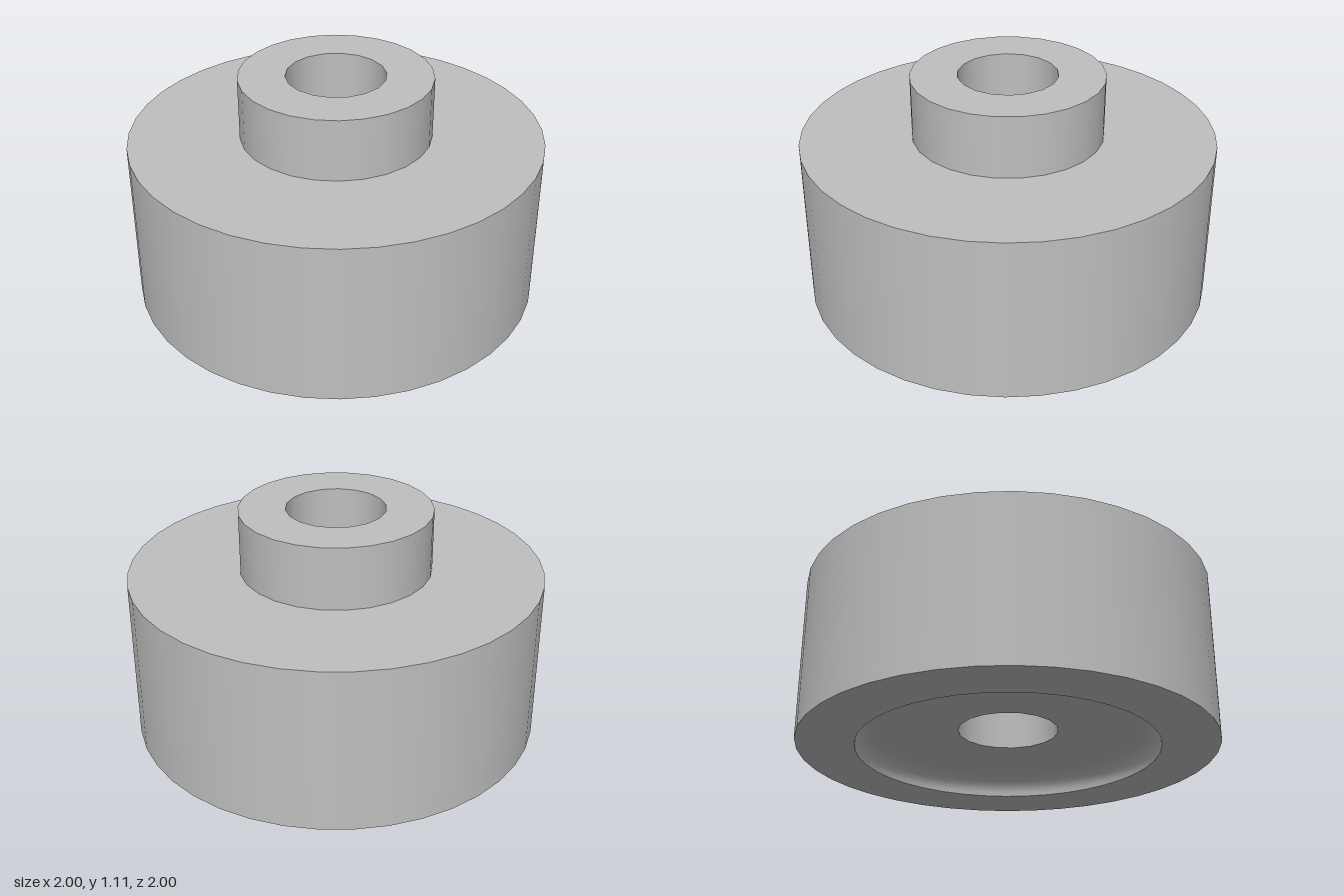
import * as THREE from 'three';

const OUTER = { r: 1, n: 40 }, BOSS = { r: 0.465, n: 26 }, BORE = { r: 0.24, n: 18 };
const RECESS = { r: 0.725, n: 40 };
const SHOULDER_Y = 0.805, TOP_Y = 1.11, DEPTH = 0.1;
const FLOOR = { r: RECESS.r - DEPTH, n: RECESS.n };

export function createModel() {
  const group = new THREE.Group();
  const grey = new THREE.MeshStandardMaterial({ color: 0xbfbfbf });
  grey.name = 'plain grey';

  const add = (name, geometry) => {
    const mesh = new THREE.Mesh(geometry, grey);
    mesh.name = name;
    group.add(mesh);
  };

  // Revolved wall; upward profiles face outward, downward profiles face inward
  const wall = (name, profile, sides) =>
    add(name, new THREE.LatheGeometry(profile.map(([r, y]) => new THREE.Vector2(r, y)), sides));

  const circle = ({ r, n }) => Array.from({ length: n }, (_, i) => {
    const a = (i / n) * Math.PI * 2;
    return new THREE.Vector2(r * Math.sin(a), r * Math.cos(a));
  });

  // Flat ring between two circles, facing up or down
  const ring = (name, outer, inner, y, up) => {
    const shape = new THREE.Shape(circle(outer));
    shape.holes.push(new THREE.Path(circle(inner)));
    const geometry = new THREE.ShapeGeometry(shape);
    geometry.rotateX(up ? -Math.PI / 2 : Math.PI / 2);
    geometry.translate(0, y, 0);
    add(name, geometry);
  };

  // Wide body and raised boss
  wall('bodyWall', [[OUTER.r, 0], [OUTER.r, SHOULDER_Y]], OUTER.n);
  ring('shoulder', OUTER, BOSS, SHOULDER_Y, true);
  wall('bossWall', [[BOSS.r, SHOULDER_Y], [BOSS.r, TOP_Y]], BOSS.n);
  ring('bossTop', BOSS, BORE, TOP_Y, true);

  // Through hole
  wall('boreWall', [[BORE.r, TOP_Y], [BORE.r, DEPTH]], BORE.n);

  // Underside: shallow recess with a rounded inner corner
  ring('recessFloor', FLOOR, BORE, DEPTH, false);
  const fillet = Array.from({ length: 9 }, (_, i) => {
    const a = (i / 8) * Math.PI / 2;
    return [FLOOR.r + DEPTH * Math.sin(a), DEPTH * Math.cos(a)];
  });
  wall('recessFillet', fillet, RECESS.n);
  ring('bottomRim', OUTER, RECESS, 0, false);

  return group;
}
